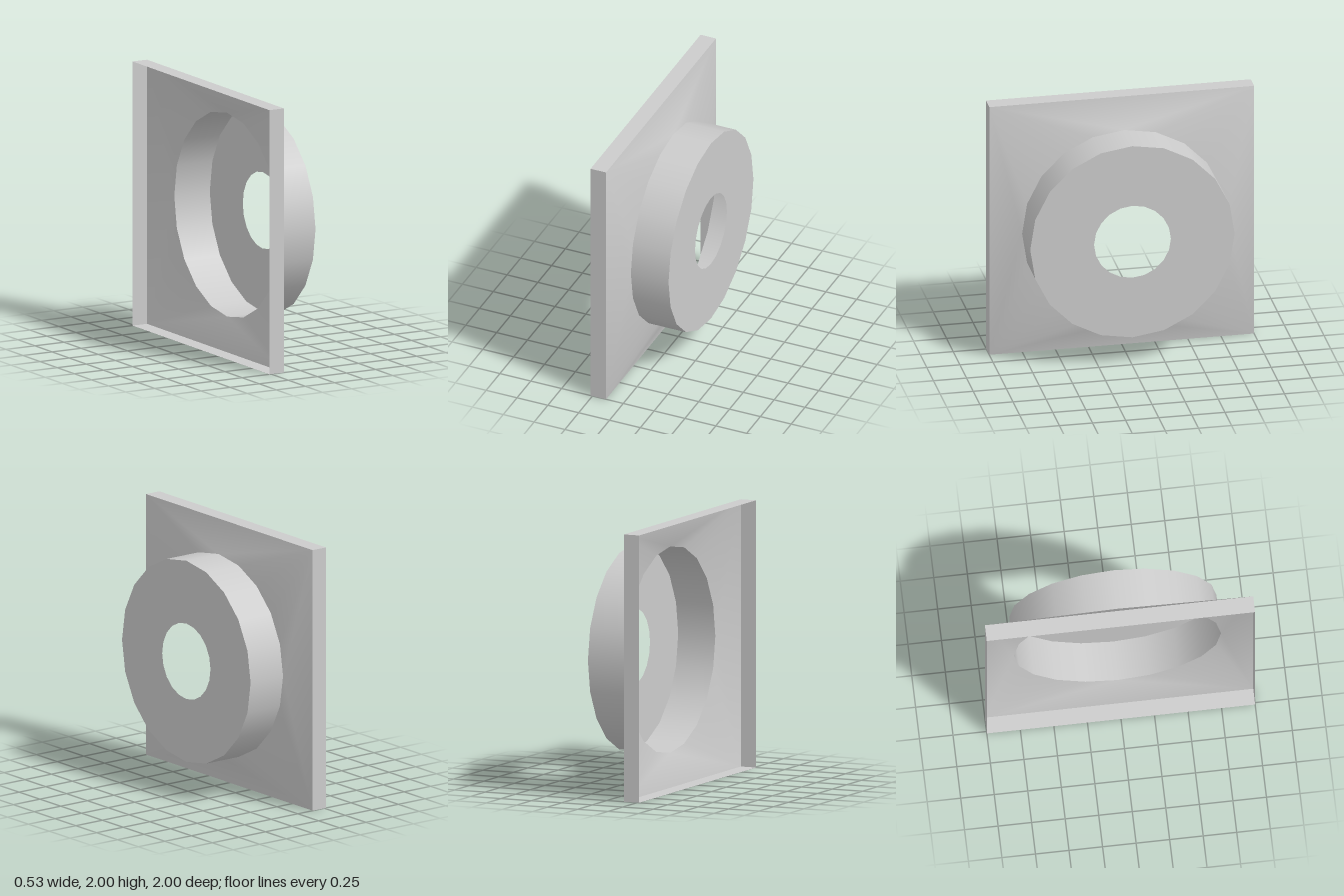
import * as THREE from 'three';

const SIDES = 20;
const R_DRUM = 0.772, R_HOLE = 0.29;
const X_BACK = -0.265, X_RIM = -0.14, X_DRUM = -0.04, X_FACE = 0.265;

// Sloped skin from a square outline to a circle, each corner fanning over a quarter of the circle
function squareToRound(xSquare, half, xRound, radius) {
  const pos = [], index = [], quarter = SIDES / 4;
  for (let i = 0; i < SIDES; i++) {
    const a = (i / SIDES) * Math.PI * 2;
    pos.push(xRound, radius * Math.cos(a), radius * Math.sin(a));
  }
  for (let q = 0; q < 4; q++) {
    const a = (q + 0.5) * Math.PI / 2, d = half * Math.SQRT2;
    pos.push(xSquare, d * Math.cos(a), d * Math.sin(a));
  }
  for (let q = 0; q < 4; q++) {
    const corner = SIDES + q, previous = SIDES + (q + 3) % 4;
    // flat triangle on the side, then the corner fan
    index.push(q * quarter, previous, corner);
    for (let k = 0; k < quarter; k++) {
      const i = q * quarter + k;
      index.push(i, corner, (i + 1) % SIDES);
    }
  }
  const g = new THREE.BufferGeometry();
  g.setAttribute('position', new THREE.Float32BufferAttribute(pos, 3));
  g.setIndex(index);
  g.computeVertexNormals();
  return g;
}

// Open tube along x
function tube(x0, x1, radius, sides, start = 0) {
  return new THREE.CylinderGeometry(radius, radius, x1 - x0, sides, 1, true, start)
    .rotateZ(-Math.PI / 2)
    .translate((x0 + x1) / 2, 0, 0);
}

export function createModel() {
  const model = new THREE.Group();
  model.name = 'flangedCollar';
  const smooth = new THREE.MeshStandardMaterial({ color: 0xcccccc, side: THREE.DoubleSide });
  const flat = new THREE.MeshStandardMaterial({ color: 0xcccccc, side: THREE.DoubleSide, flatShading: true });

  const add = (name, geometry, material) => {
    const mesh = new THREE.Mesh(geometry, material);
    mesh.name = name;
    mesh.position.y = 1;
    model.add(mesh);
  };

  // Square rim, open at the back
  add('squareRim', tube(X_BACK, X_RIM, Math.SQRT2, 4, Math.PI / 4), flat);
  // Shallow slope from the rim to the drum
  add('slopedPlate', squareToRound(X_RIM, 1, X_DRUM, R_DRUM), smooth);
  // Round drum wall
  add('drumWall', tube(X_DRUM, X_FACE, R_DRUM, SIDES), smooth);
  // End face with its central hole
  add('drumFace', new THREE.RingGeometry(R_HOLE, R_DRUM, SIDES).rotateY(Math.PI / 2).translate(X_FACE, 0, 0), smooth);

  return model;
}
